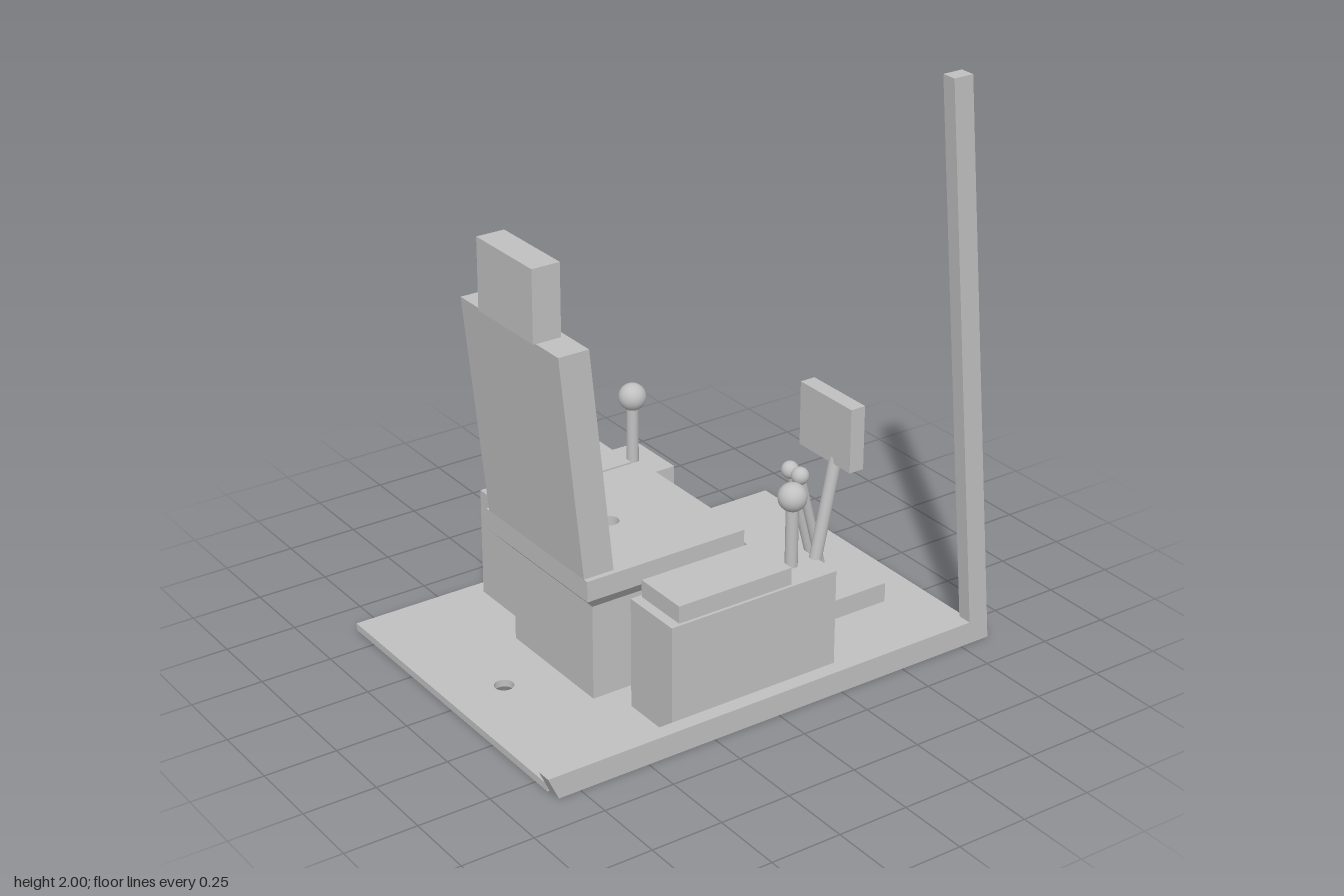
import * as THREE from 'three';

const paint = new THREE.MeshStandardMaterial({ color: 0xc0c0c0 });
paint.name = 'light grey';

export function createModel() {
  const model = new THREE.Group();
  model.name = 'operatorCab';

  const add = (name, geometry) => {
    const mesh = new THREE.Mesh(geometry, paint);
    mesh.name = name;
    model.add(mesh);
    return mesh;
  };

  // Box given by its limits on each axis
  const block = (name, x0, x1, y0, y1, z0, z1) => {
    const g = new THREE.BoxGeometry(x1 - x0, y1 - y0, z1 - z0);
    g.translate((x0 + x1) / 2, (y0 + y1) / 2, (z0 + z1) / 2);
    return add(name, g);
  };

  // Side outline in x and y, extruded along z
  const profile = (name, points, z0, z1) => {
    const shape = new THREE.Shape(points.map(([x, y]) => new THREE.Vector2(x, y)));
    const g = new THREE.ExtrudeGeometry(shape, { depth: z1 - z0, bevelEnabled: false });
    g.translate(0, 0, z0);
    return add(name, g);
  };

  // Horizontal plate with round holes on its centre line
  const plate = (name, x0, x1, y0, y1, z0, z1, holes) => {
    const shape = new THREE.Shape([
      new THREE.Vector2(x0, -z1), new THREE.Vector2(x1, -z1),
      new THREE.Vector2(x1, -z0), new THREE.Vector2(x0, -z0),
    ]);
    for (const x of holes) {
      const hole = new THREE.Path();
      hole.absarc(x, 0, 0.033, 0, Math.PI * 2, true);
      shape.holes.push(hole);
    }
    const g = new THREE.ExtrudeGeometry(shape, { depth: y1 - y0, bevelEnabled: false, curveSegments: 24 });
    g.rotateX(-Math.PI / 2);
    g.translate(0, y0, 0);
    return add(name, g);
  };

  // Round bar between two points
  const rod = (name, from, to, radius) => {
    const a = new THREE.Vector3(...from);
    const dir = new THREE.Vector3(...to).sub(a);
    const mesh = add(name, new THREE.CylinderGeometry(radius, radius, dir.length(), 20));
    mesh.position.copy(a).addScaledVector(dir, 0.5);
    mesh.quaternion.setFromUnitVectors(new THREE.Vector3(0, 1, 0), dir.normalize());
  };

  const knob = (name, x, y, z, radius) => {
    add(name, new THREE.SphereGeometry(radius, 28, 18)).position.set(x, y, z);
  };

  // Floor, with the sill and leaning post along one side
  plate('floor', -0.836, 0.862, 0, 0.025, -0.617, 0.565, [-0.64, 0.37]);
  profile('sillAndPost', [
    [-0.828, 0], [0.865, 0], [0.685, 2], [0.612, 2], [0.783, 0.08], [-0.865, 0.08],
  ], 0.565, 0.617);

  // Seat pedestal, flared support and cushion
  block('seatBase', -0.45, 0.03, 0.025, 0.36, -0.233, 0.233);
  const flare = new THREE.BoxGeometry(0.6, 0.065, 0.59);
  const p = flare.attributes.position;
  for (let i = 0; i < p.count; i++) {
    if (p.getY(i) < 0) p.setXYZ(i, p.getX(i) * 0.8, p.getY(i), p.getZ(i) * 0.79);
  }
  const seatFlare = flare.toNonIndexed();
  seatFlare.computeVertexNormals();
  add('seatFlare', seatFlare).position.set(-0.21, 0.3925, 0);
  plate('seatCushion', -0.51, 0.09, 0.425, 0.497, -0.298, 0.298, [-0.23]);

  // Leaning backrest and upright headrest
  profile('backrest', [[-0.51, 0.497], [-0.4, 0.497], [-0.48, 1.27], [-0.59, 1.27]], -0.28, 0.28);
  block('headrest', -0.6, -0.5, 1.27, 1.515, -0.157, 0.157);

  // Side consoles with armrests and joysticks
  for (const s of [-1, 1]) {
    const side = s > 0 ? 'left' : 'right';
    const zs = (a, b) => [Math.min(s * a, s * b), Math.max(s * a, s * b)];
    block(side + 'Console', -0.375, 0.26, 0.025, 0.413, ...zs(0.337, 0.561));
    block(side + 'Armrest', -0.34, 0.09, 0.413, 0.473, ...zs(0.347, 0.55));
    rod(side + 'JoystickStem', [0.165, 0.4, s * 0.449], [0.165, 0.655, s * 0.449], 0.021);
    knob(side + 'JoystickKnob', 0.165, 0.657, s * 0.449, 0.048);
  }

  // Display on a leaning arm
  rod('displayArm', [0.258, 0.39, 0.449], [0.335, 0.75, 0.449], 0.021);
  block('display', 0.316, 0.37, 0.735, 0.955, 0.284, 0.543);

  // Foot plate with twin travel levers
  block('footPlate', 0.485, 0.705, 0.025, 0.095, -0.27, 0.27);
  for (const s of [-1, 1]) {
    rod('travelLever', [0.618, 0.08, s * 0.028], [0.52, 0.453, s * 0.028], 0.016);
    knob('travelLeverKnob', 0.52, 0.453, s * 0.028, 0.031);
  }

  return model;
}
